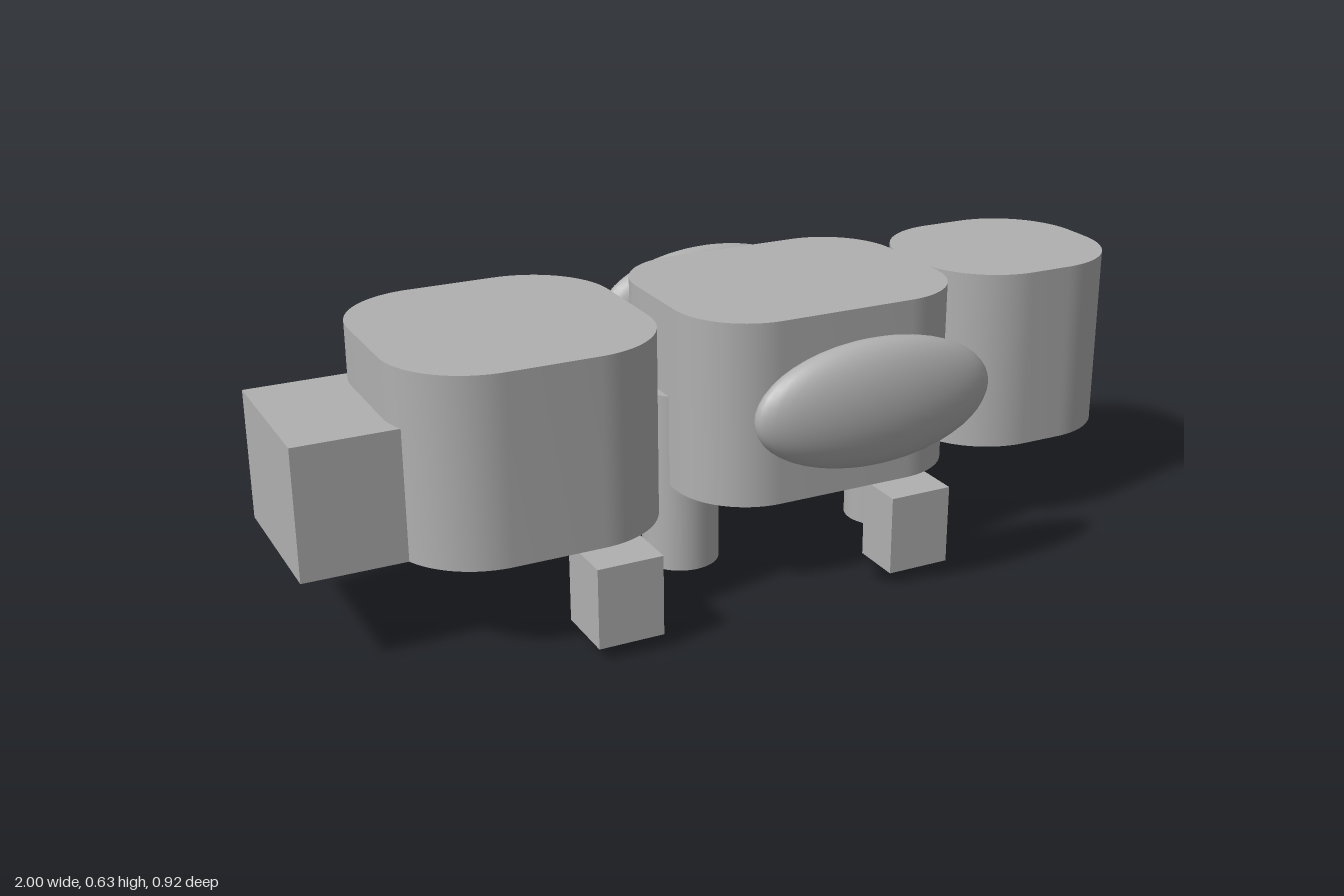
import * as THREE from 'three';
import { toCreasedNormals } from 'three/addons/utils/BufferGeometryUtils.js';

export function createModel() {
  const model = new THREE.Group();
  const grey = new THREE.MeshStandardMaterial({ color: 0xb0b0b0 });
  grey.name = 'plain grey';

  function add(name, geometry, x, y, z) {
    const mesh = new THREE.Mesh(geometry, grey);
    mesh.name = name;
    mesh.position.set(x, y, z);
    model.add(mesh);
    return mesh;
  }

  // Upright block with rounded vertical corners, from x0 to x1, half depth d
  function roundedBlock(name, x0, x1, d, r, y0, y1) {
    const w = (x1 - x0) / 2;
    const s = new THREE.Shape();
    s.moveTo(w, -d + r);
    s.absarc(w - r, d - r, r, 0, Math.PI / 2);
    s.absarc(-w + r, d - r, r, Math.PI / 2, Math.PI);
    s.absarc(-w + r, -d + r, r, Math.PI, Math.PI * 1.5);
    s.absarc(w - r, -d + r, r, Math.PI * 1.5, Math.PI * 2);
    let g = new THREE.ExtrudeGeometry(s, { depth: y1 - y0, bevelEnabled: false, curveSegments: 12 });
    g.rotateX(-Math.PI / 2);
    g = toCreasedNormals(g, 0.6);
    add(name, g, (x0 + x1) / 2, y0, 0);
  }

  // Three body segments in a row
  roundedBlock('rearBody', -0.79, -0.2, 0.298, 0.195, 0.21, 0.628);
  roundedBlock('middleBody', -0.135, 0.525, 0.268, 0.17, 0.21, 0.628);
  roundedBlock('frontBody', 0.52, 1.0, 0.222, 0.19, 0.21, 0.628);

  // End box
  add('endBox', new THREE.BoxGeometry(0.25, 0.29, 0.36), -0.875, 0.355, -0.003);

  // Round legs reaching up into the gaps between the segments
  for (const x of [-0.077, 0.463]) {
    add('roundLeg', new THREE.CylinderGeometry(0.088, 0.088, 0.42, 40), x, 0.21, 0);
  }

  // Square feet and side pods, mirrored front to back
  for (const side of [1, -1]) {
    add('rearFoot', new THREE.BoxGeometry(0.147, 0.18, 0.148), -0.378, 0.12, side * 0.313);
    add('frontFoot', new THREE.BoxGeometry(0.147, 0.18, 0.118), 0.339, 0.12, side * 0.299);
    const pod = new THREE.SphereGeometry(1, 40, 24);
    pod.scale(0.285, 0.141, 0.07);
    add('sidePod', pod, 0.19, 0.462, side * 0.388);
  }
  return model;
}
